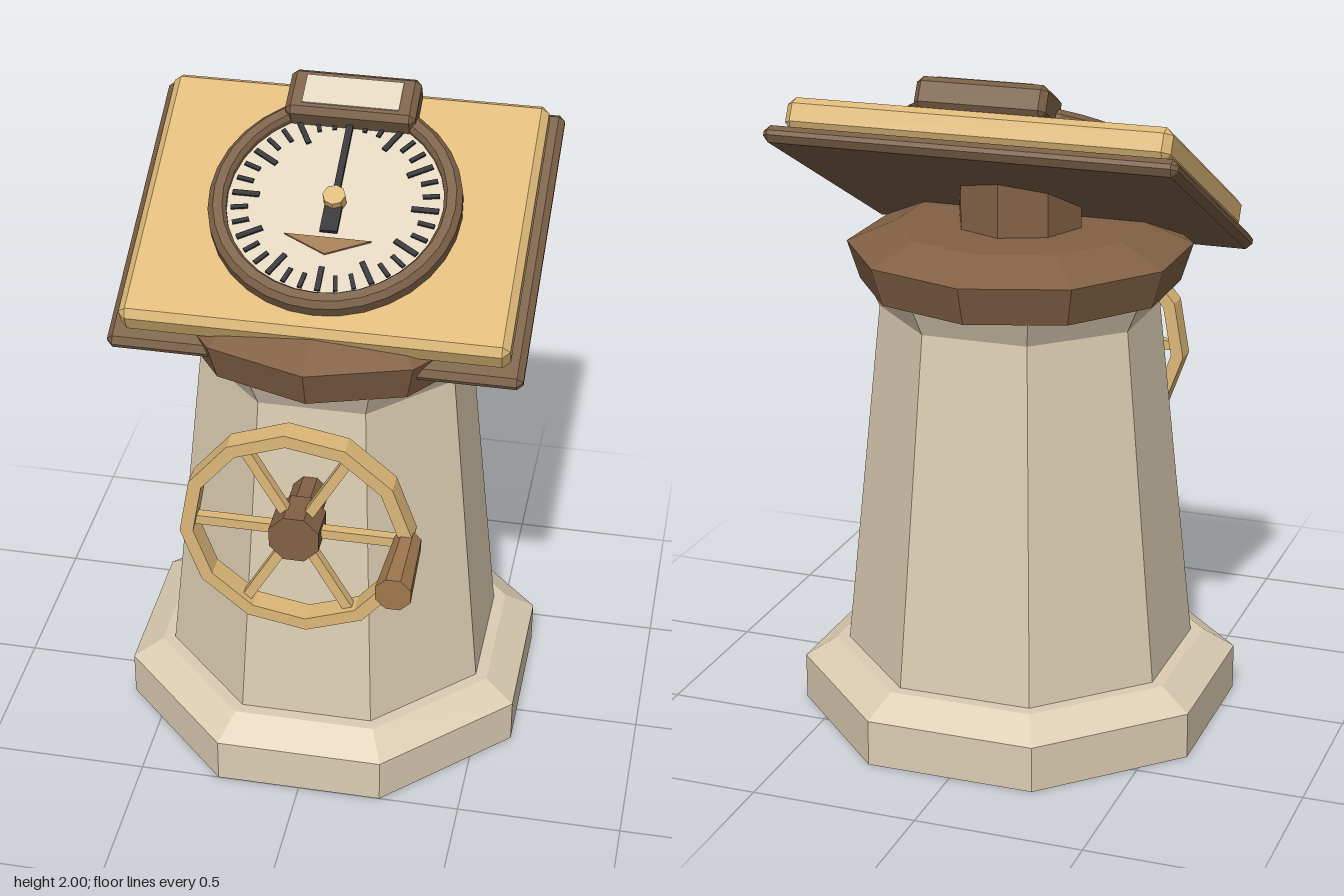
import * as THREE from 'three';
import { ConvexGeometry } from 'three/addons/geometries/ConvexGeometry.js';

const paint = (name, color) => {
  const m = new THREE.MeshStandardMaterial({ color, flatShading: true });
  m.name = name;
  return m;
};

export function createModel() {
  const stone = paint('stone', 0xdccdb3);
  const cream = paint('cream', 0xdfd3bc);
  const brass = paint('brass', 0xddb878);
  const wood = paint('wood', 0x826145);
  const bronze = paint('bronze', 0x7a5f45);
  const grip = paint('grip', 0xa0784e);
  const ink = paint('ink', 0x2e2d33);

  const model = new THREE.Group();
  model.name = 'dialPedestal';
  const add = (parent, name, geo, mat, x = 0, y = 0, z = 0) => {
    const mesh = new THREE.Mesh(geo, mat);
    mesh.name = name;
    mesh.position.set(x, y, z);
    parent.add(mesh);
    return mesh;
  };

  // Prism stack from [radius, y] pairs, closed at both ends
  const turned = (profile, sides, start = 0) => new THREE.LatheGeometry(
    [[0, profile[0][1]], ...profile, [0, profile.at(-1)[1]]].map(([r, y]) => new THREE.Vector2(r, y)),
    sides, start).toNonIndexed();

  // Box with every edge chamfered
  const chamferBox = (w, h, d, b) => {
    const pts = [];
    for (const i of [-1, 1]) for (const j of [-1, 1]) for (const k of [-1, 1]) {
      const x = i * w / 2, y = j * h / 2, z = k * d / 2;
      pts.push(new THREE.Vector3(x, y - j * b, z - k * b),
        new THREE.Vector3(x - i * b, y, z - k * b),
        new THREE.Vector3(x - i * b, y - j * b, z));
    }
    return new ConvexGeometry(pts);
  };

  // Octagonal pedestal; radii given across the flats
  const cz = -0.115;
  const oct = (profile) => turned(profile.map(([a, y]) => [a / Math.cos(Math.PI / 8), y]), 8, Math.PI / 8);
  add(model, 'base', oct([[0.615, 0], [0.615, 0.14], [0.525, 0.2]]), stone, 0, 0, cz);
  add(model, 'column', oct([[0.49, 0.19], [0.385, 1.27], [0.42, 1.35]]), stone, 0, 0, cz);
  add(model, 'cap', turned([[0.475, 1.345], [0.512, 1.46], [0.37, 1.52]], 10), wood, 0, 0, cz);

  // Neck, its top cut to the slope of the board
  const tilt = 0.477;
  const neck = new THREE.CylinderGeometry(0.19, 0.19, 0.2, 8);
  const np = neck.attributes.position;
  for (let i = 0; i < np.count; i++) {
    np.setY(i, np.getY(i) < 0 ? 1.5 : 1.605 - np.getZ(i) * Math.tan(tilt));
  }
  add(model, 'neck', neck, wood, 0, 0, cz);

  // Tilted board: local y is the face normal, local z runs down the slope
  const board = new THREE.Group();
  board.name = 'tiltedBoard';
  board.position.set(0, 1.6, cz);
  board.rotation.x = tilt;
  model.add(board);
  add(board, 'tray', chamferBox(1.22, 0.05, 0.944, 0.018), bronze, 0, 0.008, -0.046);
  add(board, 'plate', chamferBox(1.14, 0.097, 0.868, 0.022), brass, 0, 0.081, -0.045);

  // Dial
  const dial = new THREE.Group();
  dial.name = 'dial';
  dial.position.set(0, 0.13, -0.045);
  board.add(dial);
  const rim = [[0.32, 0], [0.372, 0], [0.372, 0.036], [0.355, 0.054], [0.328, 0.054], [0.318, 0.04], [0.318, 0]];
  add(dial, 'dialRim', new THREE.LatheGeometry(rim.map(([r, y]) => new THREE.Vector2(r, y)), 32), bronze);
  add(dial, 'dialFace', new THREE.CylinderGeometry(0.322, 0.322, 0.02, 32), cream, 0, 0.014, 0);

  // Tick marks, longer at every third
  for (let i = 0; i < 36; i++) {
    const long = i % 3 === 0, len = long ? 0.08 : 0.05, a = i * Math.PI / 18;
    const r = 0.305 - len / 2;
    const tick = add(dial, 'tick', new THREE.BoxGeometry(long ? 0.016 : 0.013, 0.008, len), ink,
      Math.sin(a) * r, 0.027, Math.cos(a) * r);
    tick.rotation.y = a;
  }

  // Pointer, pivot and arrow mark
  add(dial, 'needle', new THREE.BoxGeometry(0.02, 0.012, 0.27), ink, 0, 0.036, -0.135);
  add(dial, 'needleTail', new THREE.BoxGeometry(0.052, 0.012, 0.1), ink, 0, 0.036, 0.06);
  add(dial, 'pivot', new THREE.CylinderGeometry(0.034, 0.034, 0.04, 8), brass, 0, 0.044, 0);
  const arrow = new THREE.Shape([[-0.128, -0.125], [0, -0.182], [0.128, -0.125]].map((p) => new THREE.Vector2(...p)));
  add(dial, 'arrowMark', new THREE.ExtrudeGeometry(arrow, { depth: 0.008, bevelEnabled: false })
    .rotateX(-Math.PI / 2), grip, 0, 0.023, 0);

  // Small window box over the top of the dial
  add(board, 'windowBox', chamferBox(0.39, 0.095, 0.16, 0.018), bronze, 0, 0.174, -0.387);
  add(board, 'windowPane', new THREE.BoxGeometry(0.29, 0.008, 0.1), cream, 0, 0.222, -0.387);

  // Hand wheel
  const wheel = new THREE.Group();
  wheel.name = 'handWheel';
  wheel.position.set(0, 0.99, 0.48);
  model.add(wheel);
  const ring = (r) => Array.from({ length: 12 }, (_, i) => {
    const a = (i * 30 + 5) * Math.PI / 180;
    return new THREE.Vector2(Math.cos(a) * r, Math.sin(a) * r);
  });
  const rimShape = new THREE.Shape(ring(0.345));
  rimShape.holes.push(new THREE.Path(ring(0.305).reverse()));
  add(wheel, 'wheelRim', new THREE.ExtrudeGeometry(rimShape, { depth: 0.07, bevelEnabled: false }), brass, 0, 0, -0.035);
  for (let i = 0; i < 6; i++) {
    const a = i * Math.PI / 3;
    const spoke = add(wheel, 'spoke', new THREE.BoxGeometry(0.27, 0.03, 0.03), brass,
      Math.cos(a) * 0.178, Math.sin(a) * 0.178, 0);
    spoke.rotation.z = a;
  }

  // Hub, axle and crank handle lie along z
  const rod = (r1, r2, len) => new THREE.CylinderGeometry(r1, r2, len, 8).rotateY(Math.PI / 8).rotateX(Math.PI / 2);
  add(wheel, 'hub', rod(0.079, 0.079, 0.115), wood);
  add(wheel, 'axle', rod(0.054, 0.054, 0.3), wood, 0, 0, -0.15);
  add(wheel, 'crankHandle', rod(0.055, 0.042, 0.25), grip, 0.325, 0, 0.13);

  return model;
}
